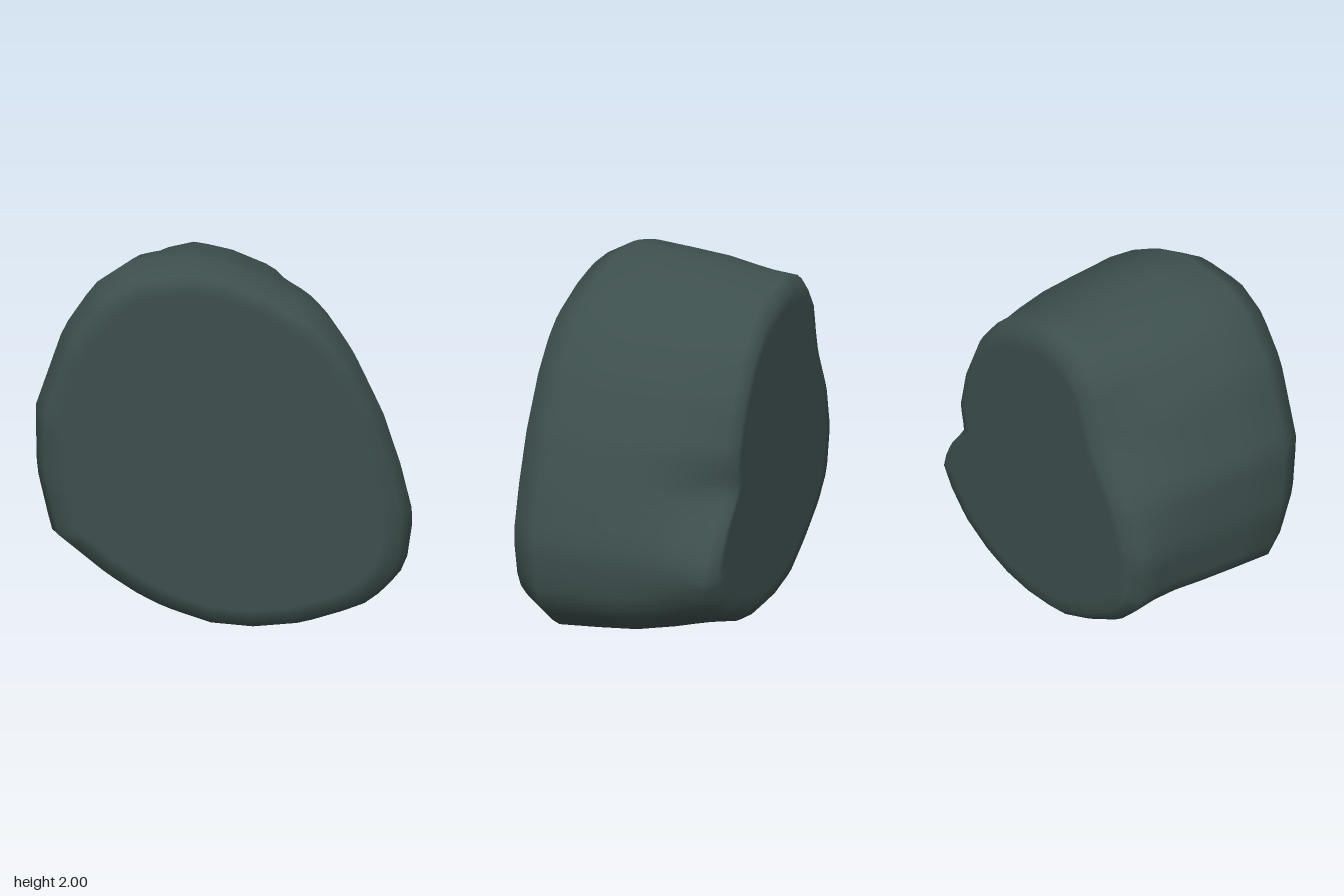
import * as THREE from 'three';

// Outlines in x, y around the body axis, counter-clockwise from the front
const FRONT = [
  [0.16, -1], [0.43, -0.97], [0.72, -0.87], [0.83, -0.78], [0.94, -0.63], [0.965, -0.35],
  [0.89, -0.08], [0.79, 0.2], [0.65, 0.48], [0.53, 0.65], [0.43, 0.75], [0.21, 0.88],
  [0.02, 0.96], [-0.18, 1], [-0.47, 0.96], [-0.64, 0.85], [-0.8, 0.63], [-0.96, 0.22],
  [-0.97, -0.12], [-0.91, -0.46], [-0.65, -0.69], [-0.48, -0.81], [-0.33, -0.89], [-0.08, -0.98],
];
const BACK = [
  [0, -0.87], [0.2, -0.86], [0.4, -0.81], [0.62, -0.7], [0.76, -0.55], [0.83, -0.42],
  [0.77, -0.27], [0.66, -0.15], [0.57, -0.04], [0.59, 0.13], [0.51, 0.37], [0.39, 0.58],
  [0.22, 0.75], [0, 0.84], [-0.2, 0.885], [-0.4, 0.84], [-0.52, 0.71], [-0.57, 0.55],
  [-0.62, 0.42], [-0.8, 0.15], [-0.89, -0.12], [-0.86, -0.4], [-0.72, -0.56], [-0.48, -0.72],
  [-0.25, -0.84],
];

// Distance from the axis to an outline in a given direction
function radiusAt(outline, angle) {
  const dx = Math.cos(angle), dy = Math.sin(angle);
  for (let i = 0; i < outline.length; i++) {
    const [ax, ay] = outline[i];
    const [bx, by] = outline[(i + 1) % outline.length];
    const sideA = dx * ay - dy * ax, sideB = dx * by - dy * bx;
    if (sideA > 0 || sideB <= 0) continue;
    const t = sideA / (sideA - sideB);
    return (ax + (bx - ax) * t) * dx + (ay + (by - ay) * t) * dy;
  }
  return 1;
}

// Cross-sections: z, front outline scale, back outline scale, share of the back outline
const SECTIONS = [
  [0.53, 0.84, 1, 0],
  [0.53, 0.93, 1, 0],
  [0.38, 1, 1, 0],
  [0.16, 0.975, 1, 0],
  [-0.05, 0.95, 1, 0.02],
  [-0.22, 0.925, 1, 0.2],
  [-0.35, 0.91, 1, 0.55],
  [-0.48, 0.9, 1, 1],
  [-0.53, 0.9, 0.935, 1],
  [-0.53, 0.9, 0.85, 1],
];

function loftBody(segments) {
  const positions = [], indices = [];
  for (const [z, frontScale, backScale, share] of SECTIONS) {
    for (let j = 0; j < segments; j++) {
      const a = (j / segments) * Math.PI * 2;
      const r = THREE.MathUtils.lerp(
        radiusAt(FRONT, a) * frontScale, radiusAt(BACK, a) * backScale, share);
      positions.push(r * Math.cos(a), 1 + r * Math.sin(a), z);
    }
  }
  const last = SECTIONS.length - 1;
  const frontCentre = positions.length / 3, backCentre = frontCentre + 1;
  positions.push(0, 1, SECTIONS[0][0], 0, 1, SECTIONS[last][0]);

  for (let j = 0; j < segments; j++) {
    const k = (j + 1) % segments;
    // Side wall
    for (let i = 0; i < last; i++) {
      const p = i * segments, q = p + segments;
      indices.push(p + j, q + j, p + k, p + k, q + j, q + k);
    }
    // Flat ends
    indices.push(frontCentre, j, k);
    indices.push(backCentre, last * segments + k, last * segments + j);
  }
  const geometry = new THREE.BufferGeometry();
  geometry.setAttribute('position', new THREE.Float32BufferAttribute(positions, 3));
  geometry.setIndex(indices);
  geometry.computeVertexNormals();
  return geometry;
}

export function createModel() {
  const model = new THREE.Group();
  model.name = 'stone';
  const body = new THREE.Mesh(
    loftBody(80), new THREE.MeshStandardMaterial({ color: 0x3d4f4d }));
  body.name = 'stoneBody';
  model.add(body);
  return model;
}
